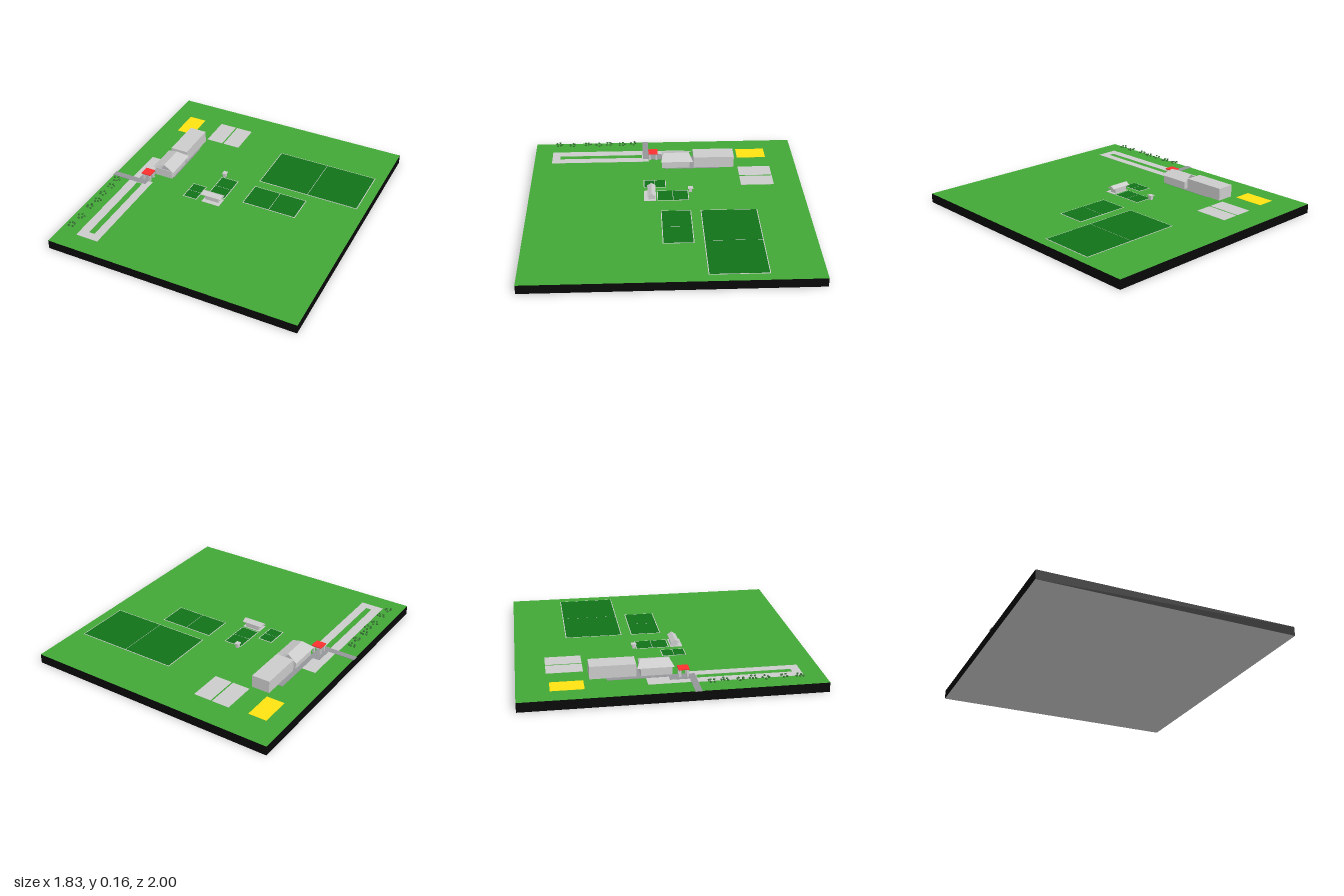
import * as THREE from 'three';

const mat = (color) => new THREE.MeshStandardMaterial({ color, flatShading: true, side: THREE.DoubleSide });
const G = 0.066; // ground level

export function createModel() {
  const root = new THREE.Group();
  const grey = mat(0xcccccc), grass = mat(0x42a836), court = mat(0x127319), path = mat(0x949699);
  const black = mat(0x080808), red = mat(0xff3030), yellow = mat(0xffe312), leaf = mat(0x2f6a2c);

  const add = (name, geo, material, parent = root) => {
    const m = new THREE.Mesh(geo, material);
    m.name = name;
    parent.add(m);
    return m;
  };
  // Box given by its extents on each axis
  const box = (name, x0, x1, y0, y1, z0, z1, material = grey, parent = root) => {
    const m = add(name, new THREE.BoxGeometry(x1 - x0, y1 - y0, z1 - z0), material, parent);
    m.position.set((x0 + x1) / 2, (y0 + y1) / 2, (z0 + z1) / 2);
    return m;
  };
  // Thin paving or turf panel lying on the ground
  const pad = (name, x0, x1, z0, z1, material = grey, h = 0.001, parent = root) =>
    box(name, x0, x1, G - 0.001, G + h, z0, z1, material, parent);
  const group = (name) => {
    const g = new THREE.Group();
    g.name = name;
    root.add(g);
    return g;
  };

  // Ground slab: black sides, grass top, grey underside
  const slab = box('groundSlab', -0.91, 0.91, 0, G, -1, 1);
  slab.material = [black, black, grass, grey, black, black];

  // Paved areas
  pad('yellowPad', -0.775, -0.643, -0.785, -0.565, yellow);
  pad('pavedPad', -0.505, -0.378, -0.8, -0.555);
  pad('pavedPad', -0.367, -0.24, -0.8, -0.555);
  pad('forecourt', -0.77, -0.66, -0.16, 0.12);
  pad('entrancePath', -0.915, -0.645, 0.12, 0.165, path, 0.003);
  pad('linkPath', -0.72, -0.64, -0.01, 0.12, path, 0.002);
  pad('buildingPath', -0.67, -0.494, -0.415, 0.0, path, 0.002);

  // Loop road with a grass island
  const road = new THREE.Shape([[-0.775, 0.12], [-0.607, 0.12], [-0.607, 0.865], [-0.775, 0.865]]
    .map(([x, z]) => new THREE.Vector2(x, -z)));
  road.holes.push(new THREE.Path([[-0.71, 0.17], [-0.667, 0.17], [-0.667, 0.805], [-0.71, 0.805]]
    .map(([x, z]) => new THREE.Vector2(x, -z))));
  const loop = add('loopRoad', new THREE.ExtrudeGeometry(road, { depth: 0.001, bevelEnabled: false }), grey);
  loop.rotation.x = -Math.PI / 2;
  loop.position.y = G;

  // Sports courts: light border and centre line around two turf halves
  const makeCourt = (x0, x1, z0, z1, alongX) => {
    const g = group('sportsCourt'), b = 0.006, l = 0.002;
    pad('courtLines', x0, x1, z0, z1, grey, 0.001, g);
    const mx = (x0 + x1) / 2, mz = (z0 + z1) / 2;
    for (const s of [0, 1]) {
      if (alongX) pad('courtHalf', s ? mx + l : x0 + b, s ? x1 - b : mx - l, z0 + b, z1 - b, court, 0.002, g);
      else pad('courtHalf', x0 + b, x1 - b, s ? mz + l : z0 + b, s ? z1 - b : mz - l, court, 0.002, g);
    }
  };
  makeCourt(0.088, 0.842, -0.635, -0.232, true);
  makeCourt(0.085, 0.488, -0.165, 0.05, true);
  makeCourt(-0.182, -0.046, -0.16, 0.07, false);
  makeCourt(-0.332, -0.224, 0, 0.165, false);

  // Main hall
  box('hall', -0.635, -0.505, G, 0.154, -0.525, -0.218);

  // Gabled house: four walls under a roof whose ridge is shorter than its eaves
  const house = group('house'), t = 0.004;
  for (const x of [-0.638, -0.503 - t]) box('sideWall', x, x + t, G, 0.132, -0.19, 0.02, grey, house);
  for (const z of [-0.19, 0.02 - t]) box('endWall', -0.638, -0.503, G, 0.128, z, z + t, grey, house);
  const slope = (name, pts, parent) => {
    const geo = new THREE.BufferGeometry();
    geo.setAttribute('position', new THREE.Float32BufferAttribute(pts.flat(), 3));
    geo.setIndex([0, 1, 2, 0, 2, 3]);
    geo.computeVertexNormals();
    add(name, geo, grey, parent);
  };
  const ridgeBack = [-0.571, 0.161, -0.185], ridgeFront = [-0.571, 0.161, 0.006];
  slope('leftRoof', [ridgeBack, ridgeFront, [-0.485, 0.128, 0.03], [-0.485, 0.128, -0.215]], house);
  slope('rightRoof', [ridgeFront, ridgeBack, [-0.655, 0.128, -0.215], [-0.655, 0.128, 0.03]], house);

  // Entrance canopy on four posts
  const canopy = group('entranceCanopy');
  box('canopyRoof', -0.696, -0.624, 0.118, 0.125, 0.05, 0.122, red, canopy);
  for (const x of [-0.692, -0.642])
    for (const z of [0.054, 0.104]) box('canopyPost', x, x + 0.014, G, 0.118, z, z + 0.014, grey, canopy);

  // Spectator pavilion with a pitched roof
  const pavilion = group('pavilion');
  pad('terrace', -0.182, -0.045, 0.08, 0.165, grey, 0.002, pavilion);
  box('pavilionBody', -0.17, -0.065, G, 0.106, 0.088, 0.132, grey, pavilion);
  const gable = new THREE.Shape([[0.08, 0.102], [0.14, 0.102], [0.14, 0.106], [0.11, 0.125], [0.08, 0.106]]
    .map(([z, y]) => new THREE.Vector2(-z, y)));
  const roof = add('pavilionRoof', new THREE.ExtrudeGeometry(gable, { depth: 0.155, bevelEnabled: false }), grey, pavilion);
  roof.rotation.y = Math.PI / 2;
  roof.position.x = -0.197;

  // Small hut with an overhanging top
  const hut = group('hut');
  box('hutBody', -0.175, -0.155, G, 0.094, -0.187, -0.164, grey, hut);
  box('hutRoof', -0.181, -0.149, 0.094, 0.101, -0.195, -0.158, grey, hut);

  // Row of foliage clusters beside the road
  const tuft = new THREE.IcosahedronGeometry(0.008, 1);
  const spots = [[-0.022, 0, -0.012], [0.002, 0.004, -0.02], [0.02, -0.002, -0.006], [-0.014, -0.003, 0.016], [0.01, 0.002, 0.016]];
  [0.24, 0.325, 0.425, 0.51, 0.595, 0.715, 0.815].forEach((z, i) => {
    const tree = group('treeFoliage');
    for (const p of spots) {
      const m = add('leafTuft', tuft, leaf, tree);
      m.position.set(...p);
      m.scale.set(1, 0.75, 1);
    }
    tree.rotation.y = i * 1.3;
    tree.position.set(i % 2 ? -0.828 : -0.838, 0.101, z);
  });

  return root;
}
